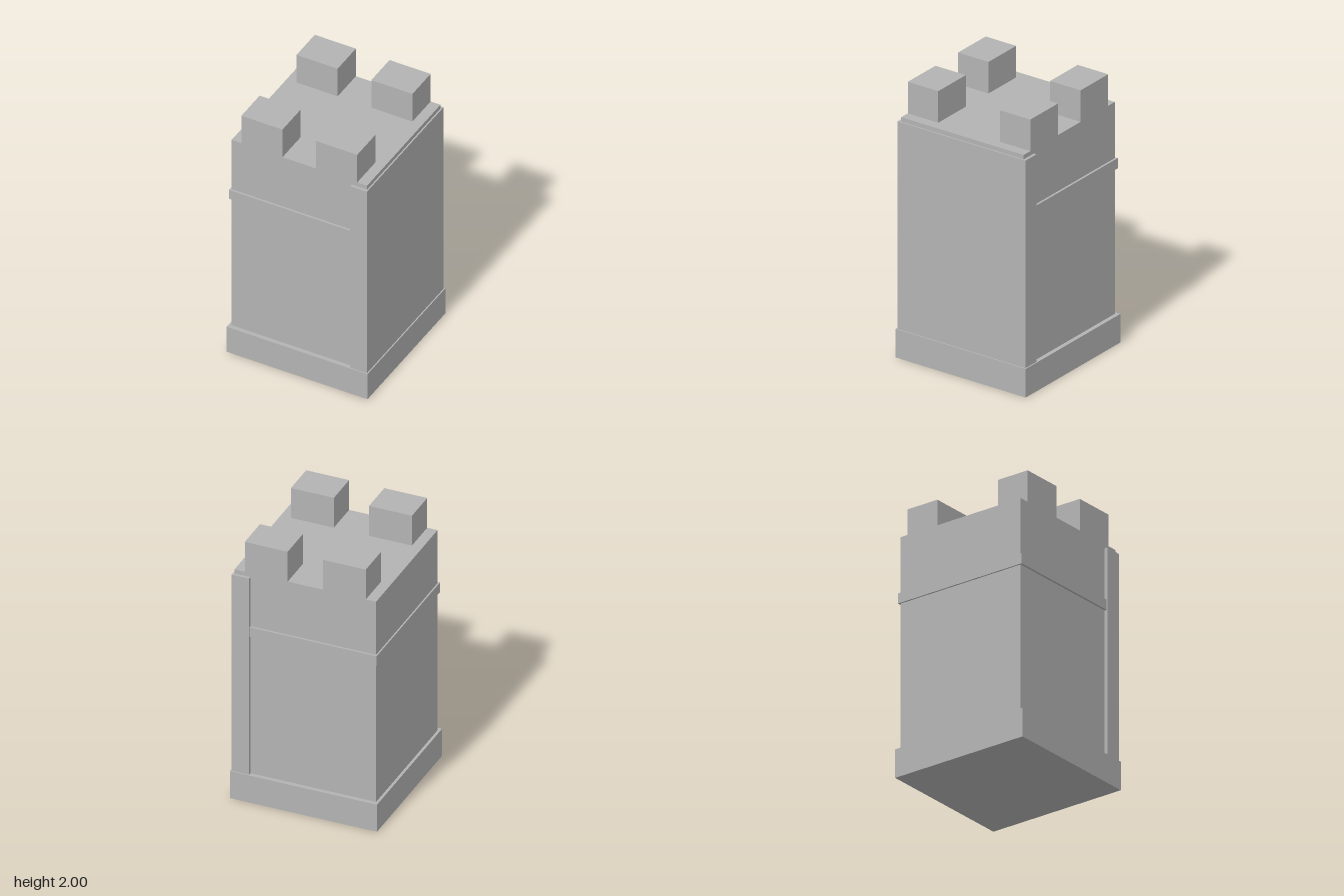
import * as THREE from 'three';

export function createModel() {
  const tower = new THREE.Group();
  tower.name = 'tower';
  const stone = new THREE.MeshStandardMaterial({ color: 0xb3b3b3 });
  stone.name = 'grey stone';

  // Box given by its extents along each axis
  function block(name, [x0, x1], [y0, y1], [z0, z1]) {
    const mesh = new THREE.Mesh(new THREE.BoxGeometry(x1 - x0, y1 - y0, z1 - z0), stone);
    mesh.position.set((x0 + x1) / 2, (y0 + y1) / 2, (z0 + z1) / 2);
    mesh.name = name;
    tower.add(mesh);
  }

  const baseTop = 0.21, roof = 1.768;

  // Plinth and main shaft
  block('plinth', [-0.536, 0.536], [0, baseTop], [-0.536, 0.536]);
  block('shaft', [-0.516, 0.516], [baseTop, roof], [-0.505, 0.505]);

  // Slab covering the left side, and the band that runs into it
  block('sideSlab', [0.4, 0.527], [baseTop, 1.736], [-0.527, 0.527]);
  block('stringCourse', [-0.527, 0.45], [1.28, 1.355], [-0.521, 0.521]);

  // Four battlements, flush with the front and back walls
  for (const sx of [-1, 1]) {
    for (const sz of [-1, 1]) {
      const x = sx < 0 ? [-0.441, -0.128] : [0.128, 0.441];
      const z = sz < 0 ? [-0.505, -0.254] : [0.254, 0.505];
      block((sz > 0 ? 'front' : 'back') + (sx > 0 ? 'Left' : 'Right') + 'Battlement', x, [roof, 2], z);
    }
  }
  return tower;
}
